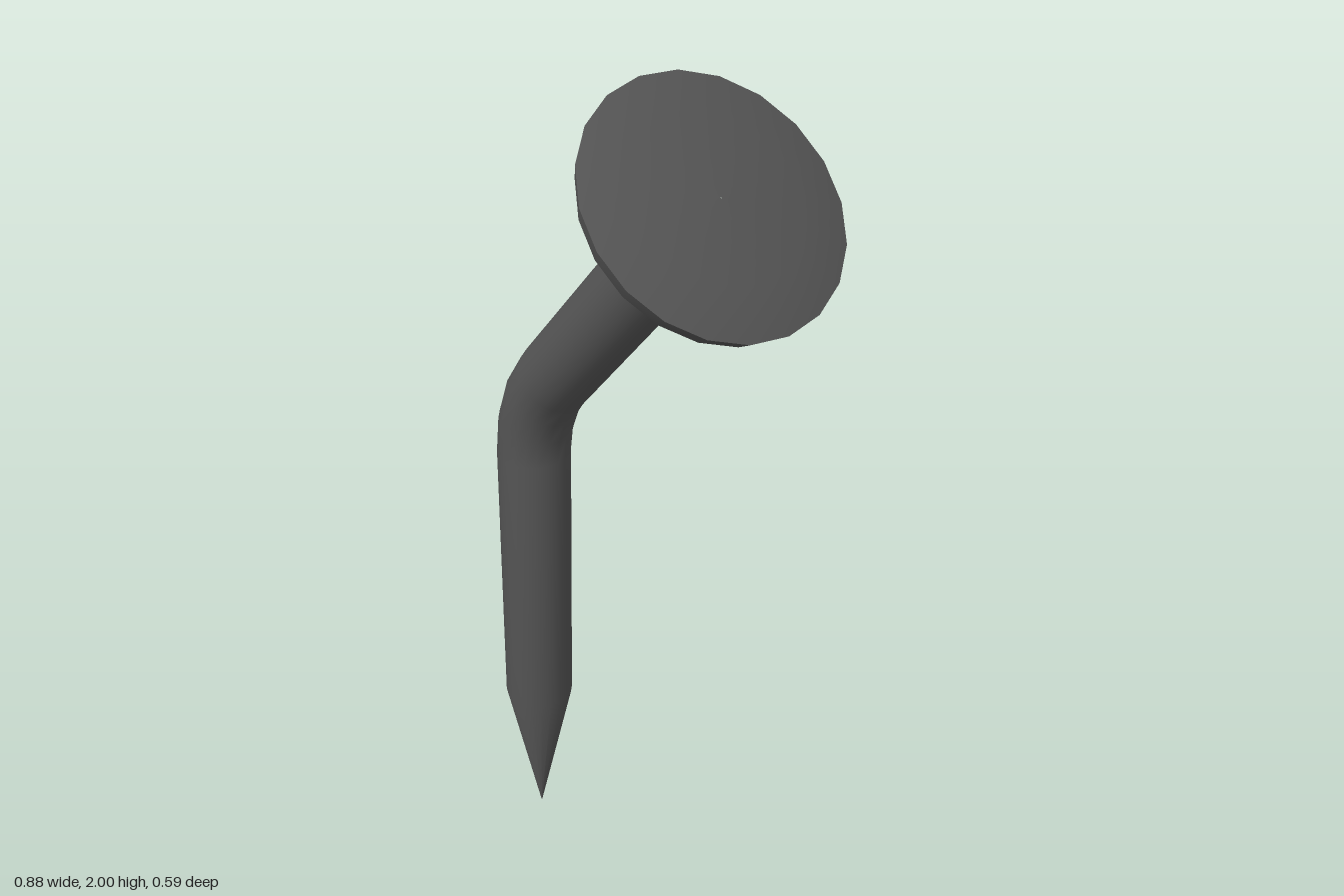
import * as THREE from 'three';

const SIDES = 20;
const SHAFT_TILT = THREE.MathUtils.degToRad(39); // lean of the upper shaft
const HEAD_TILT = THREE.MathUtils.degToRad(41.6);

// Smooth skin through round sections [x, y, tilt, radius]
function sweep(stations) {
  const pos = [], idx = [];
  stations.forEach(([x, y, tilt, r], j) => {
    for (let i = 0; i < SIDES; i++) {
      const a = (i / SIDES) * Math.PI * 2;
      const u = r * Math.cos(a);
      pos.push(x + u * Math.cos(tilt), y - u * Math.sin(tilt), r * Math.sin(a));
      if (j === 0) continue;
      const n = (i + 1) % SIDES, lo = (j - 1) * SIDES, hi = j * SIDES;
      idx.push(lo + i, hi + i, lo + n, lo + n, hi + i, hi + n);
    }
  });
  const g = new THREE.BufferGeometry();
  g.setAttribute('position', new THREE.Float32BufferAttribute(pos, 3));
  g.setIndex(idx);
  g.computeVertexNormals();
  return g;
}

export function createModel() {
  const group = new THREE.Group();
  group.name = 'bentNail';
  const iron = new THREE.MeshStandardMaterial({ color: 0x555555 });
  iron.name = 'dark iron';

  const add = (name, geometry, parent = group) => {
    const mesh = new THREE.Mesh(geometry, iron);
    mesh.name = name;
    parent.add(mesh);
  };

  // Shaft: point, straight lower length, bend, leaning upper length
  const neck = [0.111, 1.685, SHAFT_TILT, 0.091];
  const shaft = [[-0.36, 0, 0, 0.001], [-0.36, 0.33, 0, 0.076]];
  const bendRadius = 0.35, steps = 3;
  for (let k = 0; k <= steps; k++) {
    const t = (k / steps) * SHAFT_TILT;
    shaft.push([
      -0.36 + bendRadius * (1 - Math.cos(t)),
      0.98 + bendRadius * Math.sin(t),
      t,
      0.082 + 0.003 * (k / steps),
    ]);
  }
  shaft.push(neck);
  add('shaft', sweep(shaft));

  // Head: flared underside, bevelled rim, shallow domed striking face
  const head = new THREE.Group();
  head.name = 'head';
  group.add(head);
  const rimLow = [0.19, 1.768, HEAD_TILT, 0.278];
  const rimTop = [0.217, 1.803, HEAD_TILT, 0.296];
  const dome = (height, radius) => [
    rimTop[0] + height * Math.sin(HEAD_TILT),
    rimTop[1] + height * Math.cos(HEAD_TILT),
    HEAD_TILT,
    radius,
  ];
  add('headUnderside', sweep([neck, rimLow]), head);
  add('headRim', sweep([rimLow, rimTop]), head);
  add('headFace', sweep([rimTop, dome(0.029, 0.19), dome(0.032, 0.001)]), head);

  return group;
}
